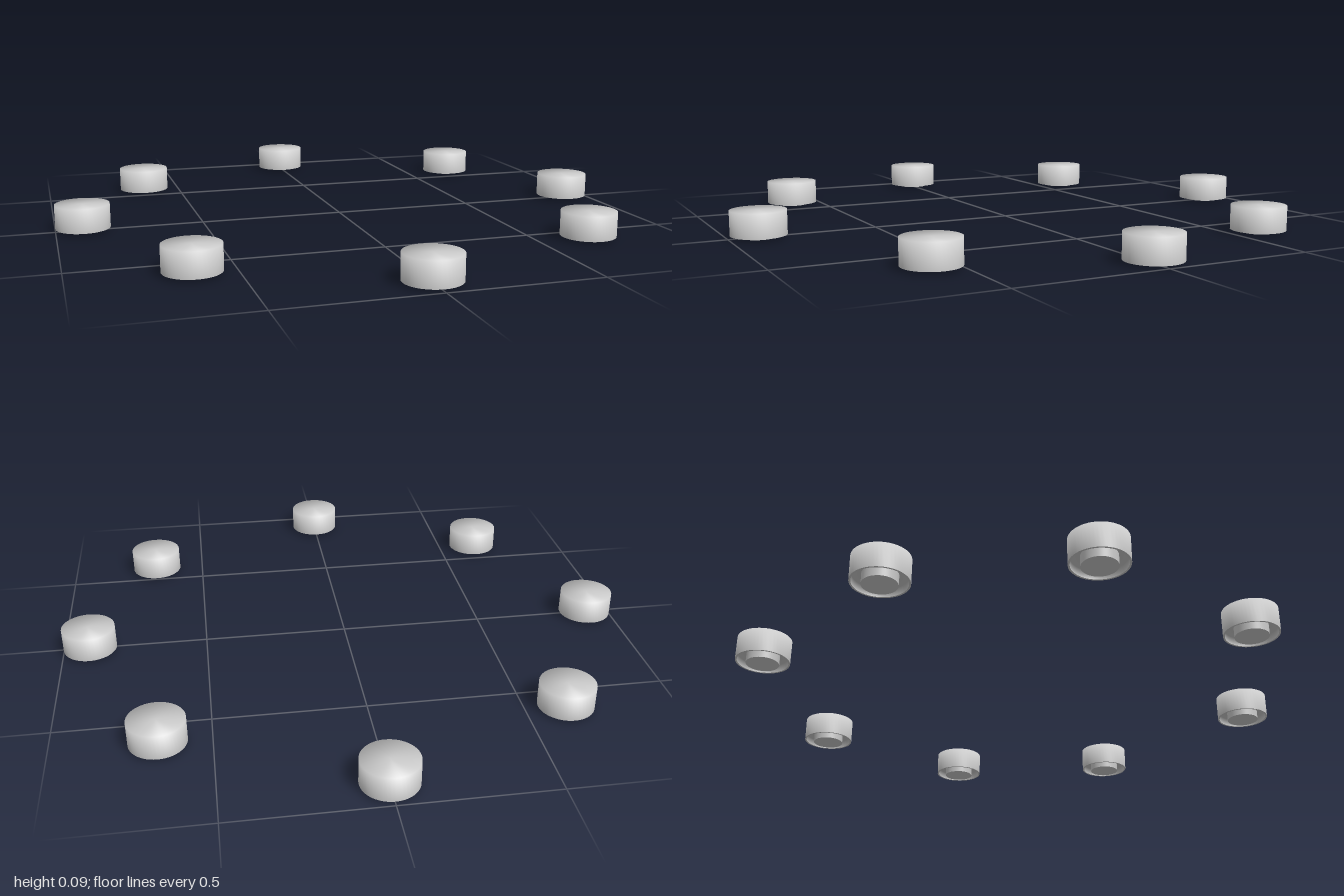
import * as THREE from 'three';

const material = new THREE.MeshStandardMaterial({ color: 0xcccccc });

const R = 0.092;      // outer radius
const TOP = 0.091;    // overall height
const RIM = 0.008;    // height of the lower rim
const CEILING = 0.035; // height of the hollow underside
const FOOT = 0.056;   // foot radius

// Revolve a profile of [radius, height] pairs, listed from bottom to top on the outside.
function lathe(name, profile) {
  const points = profile.map(([r, y]) => new THREE.Vector2(r, y));
  const mesh = new THREE.Mesh(new THREE.LatheGeometry(points, 48), material);
  mesh.name = name;
  return mesh;
}

// One round puck: smooth-shaded drum, hollow below, standing on a central foot
function createPuck() {
  const puck = new THREE.Group();
  puck.add(
    lathe('drum', [[R, RIM], [R, TOP], [0, TOP]]),
    lathe('lowerRim', [[R - 0.006, RIM], [R, RIM]]),
    lathe('hollow', [[0, CEILING], [R - 0.006, CEILING], [R - 0.006, RIM]]),
    lathe('footWall', [[FOOT, 0], [FOOT, CEILING]]),
    lathe('footBase', [[0, 0], [FOOT, 0]])
  );
  return puck;
}

// Puck centres [x, z], set out in a slightly uneven ring
const centres = [
  [0, 0.9], [0.68, 0.585], [0.908, -0.01], [0.668, -0.605],
  [0, -0.9], [-0.635, -0.597], [-0.908, -0.01], [-0.635, 0.61]
];

export function createModel() {
  const model = new THREE.Group();
  model.name = 'puckRing';
  const puck = createPuck();
  centres.forEach(([x, z], i) => {
    const copy = puck.clone();
    copy.name = `puck${i + 1}`;
    copy.position.set(x, 0, z);
    model.add(copy);
  });
  return model;
}
